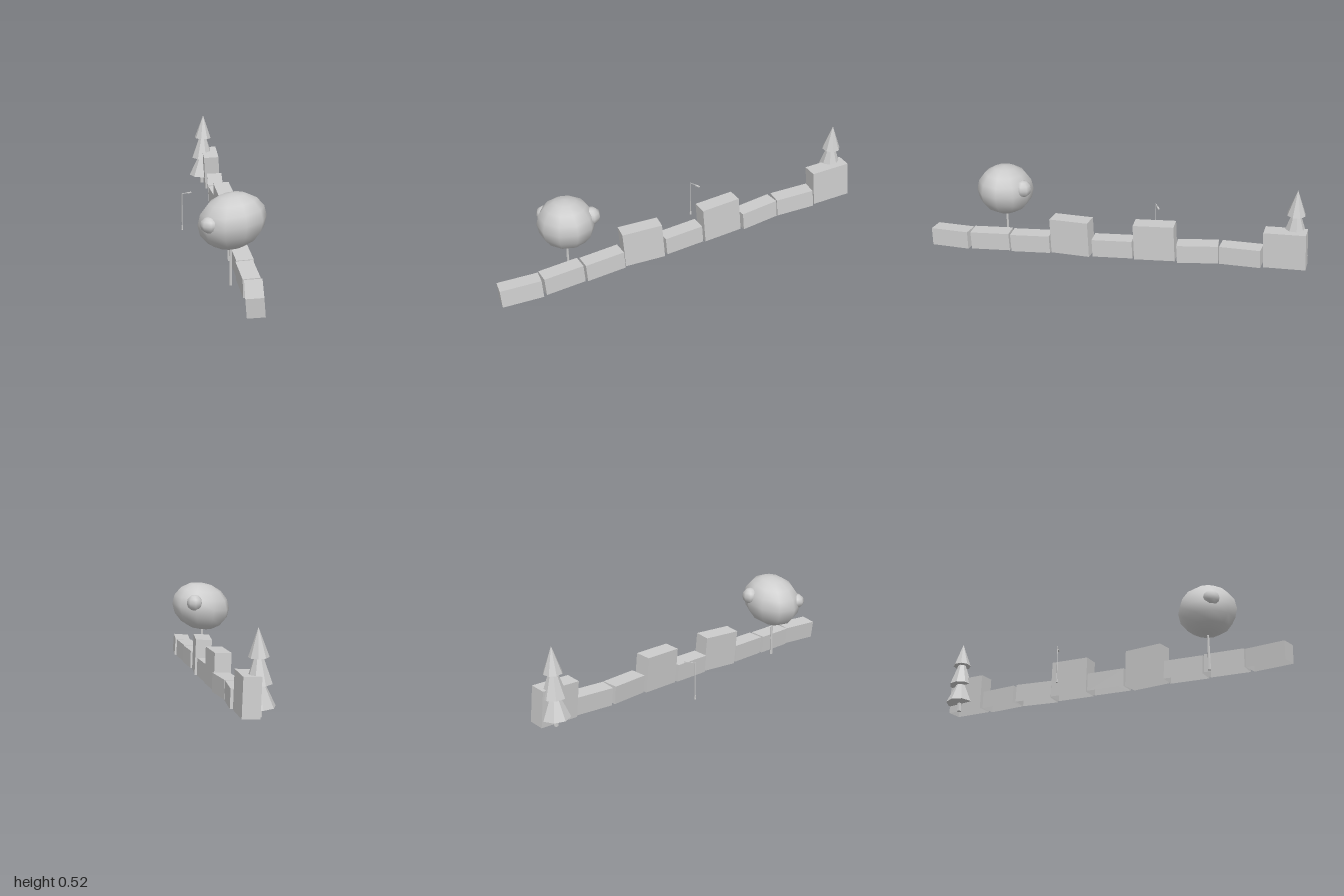
import * as THREE from 'three';
import { mergeVertices } from 'three/addons/utils/BufferGeometryUtils.js';

const flat = new THREE.MeshStandardMaterial({ color: 0xcccccc, flatShading: true, side: THREE.DoubleSide });
const smooth = new THREE.MeshStandardMaterial({ color: 0xcccccc });

function add(parent, name, geometry, material, x = 0, y = 0, z = 0) {
  const mesh = new THREE.Mesh(geometry, material);
  mesh.name = name;
  mesh.position.set(x, y, z);
  parent.add(mesh);
  return mesh;
}

// Box standing on y = 0, without a bottom face
function openBox(w, h, d) {
  const g = new THREE.BoxGeometry(w, h, d).translate(0, h / 2, 0);
  const index = Array.from(g.index.array);
  index.splice(18, 6);
  g.setIndex(index);
  g.clearGroups();
  return g;
}

// Smooth low-poly ellipsoid, sheared a little so that +x sits higher
function blob(rx, ry, rz, across, down, shear) {
  let g = new THREE.SphereGeometry(1, across, down).scale(rx, ry, rz);
  const p = g.attributes.position;
  for (let i = 0; i < p.count; i++) p.setY(i, p.getY(i) + shear * p.getX(i));
  g.deleteAttribute('uv');
  g.deleteAttribute('normal');
  g = mergeVertices(g, 1e-5);
  g.computeVertexNormals();
  return g;
}

// Row of blocks climbing towards the back; some carry a second block
function makeBlockRow() {
  const row = new THREE.Group();
  row.name = 'blockRow';
  const height = 0.095;
  const geometry = openBox(0.085, height, 0.212);
  const yaws = [-0.115, 0.025, 0.03, -0.115, 0.025, 0.025, 0.085, -0.085, -0.03];
  const stacked = [3, 5, 8];
  yaws.forEach((yaw, i) => {
    const z = 0.89 - i * 0.2225;
    const block = new THREE.Group();
    block.name = 'block' + (i + 1);
    block.position.set(0.075, 0.0115 + 0.061 * (0.89 - z), z);
    block.rotation.set(0.065, yaw, i === 0 ? 0.08 : 0.05, 'YXZ');
    add(block, 'lowerBlock', geometry, flat);
    if (stacked.includes(i)) add(block, 'upperBlock', geometry, flat, 0, height, 0);
    row.add(block);
  });
  return row;
}

// Broad tree with a lumpy round crown
function makeRoundTree() {
  const tree = new THREE.Group();
  tree.name = 'roundTree';
  tree.position.set(0, 0, 0.607);
  add(tree, 'trunk', new THREE.CylinderGeometry(0.005, 0.008, 0.22, 6), flat, -0.002, 0.13, 0);
  add(tree, 'crown', blob(0.164, 0.135, 0.146, 10, 8, 0.12), smooth, 0.004, 0.343, 0);
  add(tree, 'frontLump', blob(0.048, 0.04, 0.042, 8, 6, 0), smooth, -0.108, 0.347, 0.073);
  add(tree, 'backLump', blob(0.045, 0.045, 0.045, 8, 6, 0), smooth, 0.06, 0.383, -0.115);
  return tree;
}

// Conifer of three overlapping cones
function makeConifer() {
  const tree = new THREE.Group();
  tree.name = 'conifer';
  tree.position.set(0.022, 0.115, -0.921);
  tree.rotation.z = -0.02;
  add(tree, 'trunk', new THREE.CylinderGeometry(0.01, 0.012, 0.08, 6), flat, 0, 0.04, 0);
  const tiers = [[0.074, 0.165, 0.048], [0.063, 0.185, 0.155], [0.048, 0.135, 0.275]];
  tiers.forEach(([r, h, base], i) => {
    add(tree, 'foliage' + (i + 1), new THREE.ConeGeometry(r, h, 8), flat, 0, base + h / 2, 0).rotation.y = i * 0.25;
  });
  return tree;
}

// Street lamp with an arm reaching towards the blocks
function makeLamp() {
  const lamp = new THREE.Group();
  lamp.name = 'streetLamp';
  lamp.position.set(-0.164, 0.058, -0.17);
  lamp.rotation.y = 0.46;
  add(lamp, 'base', new THREE.CylinderGeometry(0.004, 0.0055, 0.022, 6), flat, 0, 0.011, 0);
  add(lamp, 'pole', new THREE.CylinderGeometry(0.0018, 0.0025, 0.182, 6), flat, 0, 0.111, 0);
  add(lamp, 'arm', new THREE.BoxGeometry(0.045, 0.003, 0.003), flat, 0.021, 0.202, 0);
  add(lamp, 'lampHead', new THREE.BoxGeometry(0.024, 0.005, 0.009), flat, 0.046, 0.201, 0);
  return lamp;
}

export function createModel() {
  const model = new THREE.Group();
  model.name = 'blockRowWithTrees';
  model.add(makeBlockRow(), makeRoundTree(), makeConifer(), makeLamp());
  return model;
}
